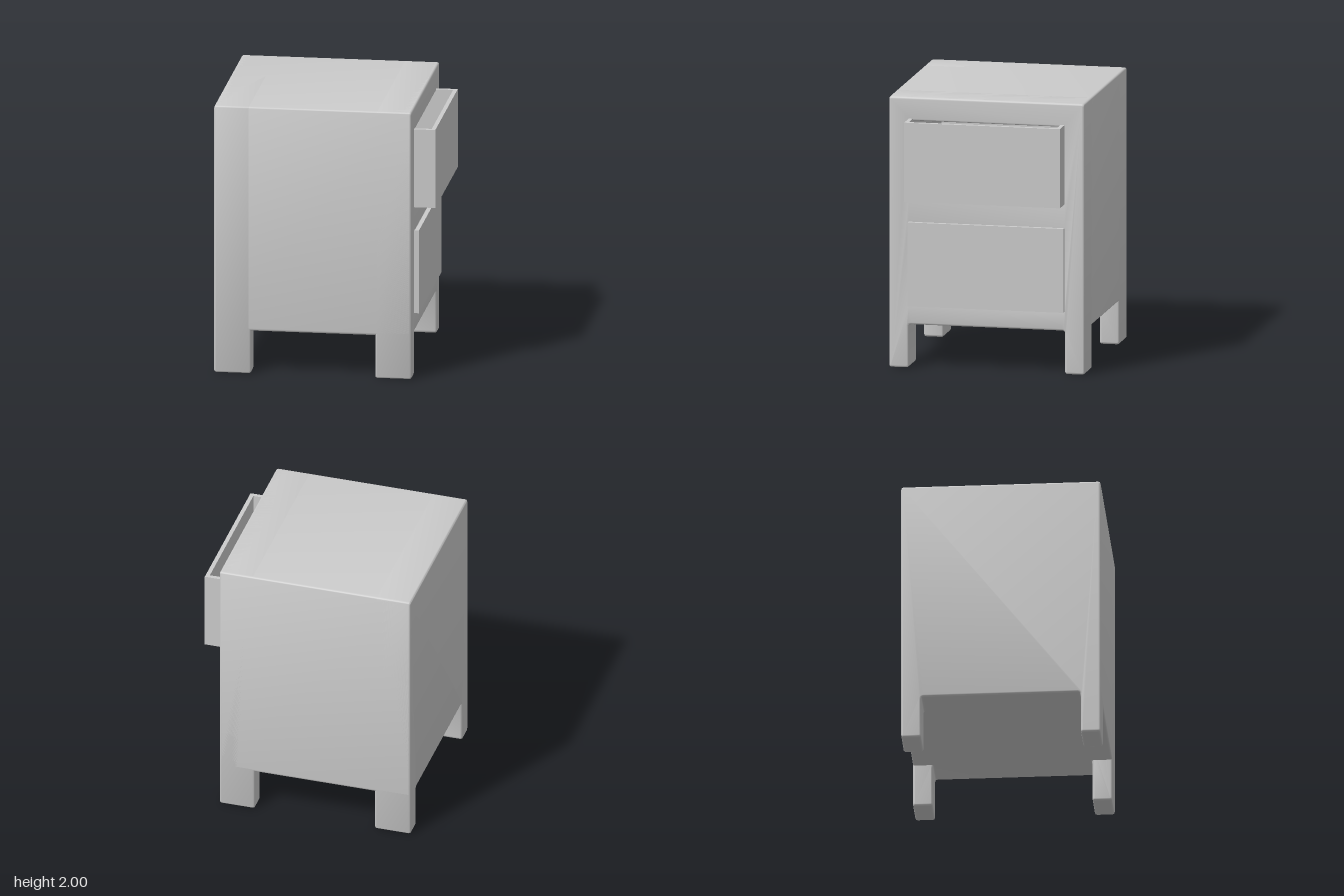
import * as THREE from 'three';
import { toCreasedNormals } from 'three/addons/utils/BufferGeometryUtils.js';

const R = 0.015; // edge rounding
const HALF = 0.725, TOP = 2, UNDER = 0.32, LEG = 0.58;
const DRAWER_HALF = 0.578;
const drawers = [
  { name: 'upperDrawer', y0: 1.255, y1: 1.84, front: 0.8 },
  { name: 'lowerDrawer', y0: 0.46, y1: 1.08, front: 0.68 },
];
const material = new THREE.MeshStandardMaterial({ color: 0xcccccc });

// Closed outline with every corner softened by a small curve
function roundedShape(points, r) {
  const p = points.map(([x, y]) => new THREE.Vector2(x, y));
  const shape = new THREE.Shape();
  p.forEach((c, i) => {
    const prev = p[(i + p.length - 1) % p.length], next = p[(i + 1) % p.length];
    const a = prev.clone().sub(c).setLength(r).add(c);
    const b = next.clone().sub(c).setLength(r).add(c);
    if (i === 0) shape.moveTo(a.x, a.y); else shape.lineTo(a.x, a.y);
    shape.quadraticCurveTo(c.x, c.y, b.x, b.y);
  });
  shape.closePath();
  return shape;
}

function rectPath(x0, y0, x1, y1, Type = THREE.Path) {
  return new Type([[x0, y0], [x1, y0], [x1, y1], [x0, y1]].map(([x, y]) => new THREE.Vector2(x, y)));
}

// Openings sit just inside the drawer walls and flare out to meet them at the face
function cutOpenings(shape) {
  for (const d of drawers) {
    const w = DRAWER_HALF - R;
    shape.holes.push(rectPath(-w, d.y0 + R, w, d.y1 - R));
  }
  return shape;
}

// Extrude a front-on outline along x, with or without rounded end edges
function alongX(name, shape, x0, x1, bevel) {
  const b = bevel ? R : 0;
  const g = new THREE.ExtrudeGeometry(shape, {
    depth: x1 - x0 - 2 * b, curveSegments: 4,
    bevelEnabled: bevel, bevelThickness: R, bevelSize: R, bevelOffset: -R, bevelSegments: 3,
  });
  g.translate(0, 0, x0 + b).rotateY(Math.PI / 2);
  const mesh = new THREE.Mesh(toCreasedNormals(g, 0.7), material);
  mesh.name = name;
  return mesh;
}

// Open-topped box: four walls and a floor
function makeDrawer({ name, y0, y1, front }) {
  const group = new THREE.Group();
  group.name = name;
  const wall = 0.03, length = 1.15, back = front - length;
  const plan = rectPath(back, -DRAWER_HALF, front, DRAWER_HALF, THREE.Shape);
  plan.holes.push(rectPath(back + wall, -DRAWER_HALF + wall, front - wall, DRAWER_HALF - wall));
  const walls = new THREE.ExtrudeGeometry(plan, { depth: y1 - y0, bevelEnabled: false });
  walls.rotateX(-Math.PI / 2).translate(0, y0, 0);
  const wallMesh = new THREE.Mesh(walls, material);
  wallMesh.name = 'drawerWalls';
  const floor = new THREE.BoxGeometry(length - 2 * wall, wall, 2 * (DRAWER_HALF - wall));
  floor.translate(front - length / 2, y0 + wall / 2, 0);
  const floorMesh = new THREE.Mesh(floor, material);
  floorMesh.name = 'drawerFloor';
  group.add(wallMesh, floorMesh);
  return group;
}

export function createModel() {
  const model = new THREE.Group();
  model.name = 'nightstand';

  // End frames include the legs; the core joins them at floor level of the cabinet
  const frame = () => roundedShape([
    [-HALF, 0], [-LEG, 0], [-LEG, UNDER], [LEG, UNDER], [LEG, 0], [HALF, 0], [HALF, TOP], [-HALF, TOP],
  ], 0.02);
  const core = roundedShape([[-HALF, UNDER], [HALF, UNDER], [HALF, TOP], [-HALF, TOP]], 0.02);

  model.add(
    alongX('backFrameWithLegs', frame(), -0.8, -0.53, true),
    alongX('cabinetCore', cutOpenings(core), -0.785, 0.63, false),
    alongX('drawerFrameWithLegs', cutOpenings(frame()), 0.38, 0.645, true),
    ...drawers.map(makeDrawer),
  );
  return model;
}
